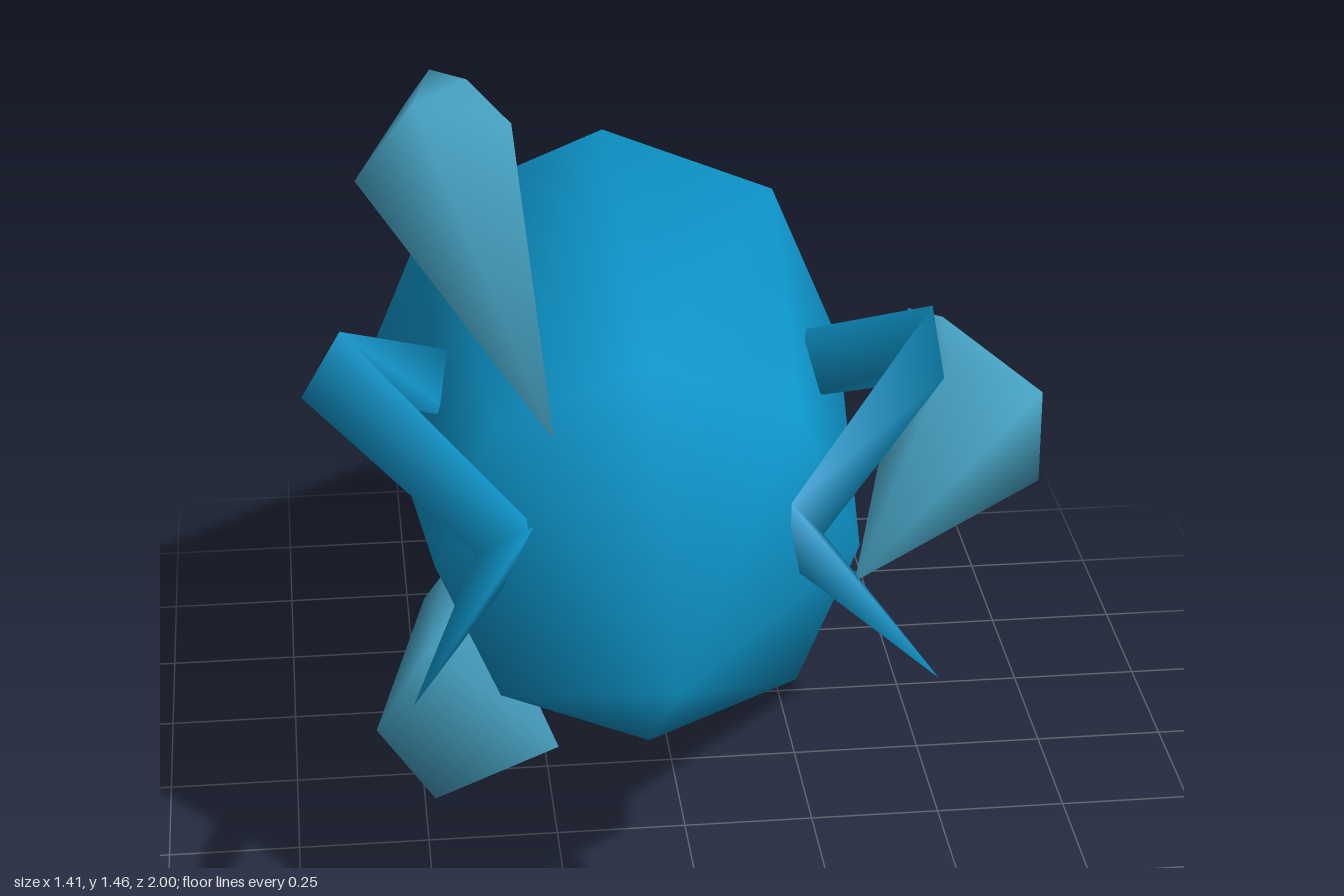
import * as THREE from 'three';

// Lofts closed rings of [x, y, z] points from front to back; a one-point ring closes an end.
function loft(rings) {
  const positions = [];
  const starts = rings.map((ring) => {
    const start = positions.length / 3;
    ring.forEach((p) => positions.push(...p));
    return start;
  });
  const index = [];
  for (let i = 0; i < rings.length - 1; i++) {
    const front = rings[i].length, back = rings[i + 1].length;
    const sides = Math.max(front, back);
    for (let j = 0; j < sides; j++) {
      const a = starts[i] + (j % front);
      const b = starts[i] + ((j + 1) % front);
      const c = starts[i + 1] + (j % back);
      const d = starts[i + 1] + ((j + 1) % back);
      if (a !== b) index.push(a, c, b);
      if (c !== d) index.push(b, c, d);
    }
  }
  const geometry = new THREE.BufferGeometry();
  geometry.setAttribute('position', new THREE.Float32BufferAttribute(positions, 3));
  geometry.setIndex(index);
  geometry.computeVertexNormals();
  return geometry;
}

// Regular polygon ring, counter-clockwise seen from the front; zAt gives depth from the local offset.
function polygon(sides, radius, cx, cy, startAngle, zAt) {
  return Array.from({ length: sides }, (_, i) => {
    const t = startAngle + (i / sides) * Math.PI * 2;
    const dx = radius * Math.cos(t), dy = radius * Math.sin(t);
    return [cx + dx, cy + dy, zAt(dx, dy)];
  });
}

function ringCentre(ring) {
  return [0, 1, 2].map((k) => ring.reduce((sum, p) => sum + p[k], 0) / ring.length);
}

export function createModel() {
  const model = new THREE.Group();
  const bodyBlue = new THREE.MeshStandardMaterial({ color: 0x0d95ca });
  bodyBlue.name = 'bodyBlue';
  const finBlue = new THREE.MeshStandardMaterial({ color: 0x48a5c6 });
  finBlue.name = 'finBlue';

  const add = (name, rings, material) => {
    const mesh = new THREE.Mesh(loft(rings), material);
    mesh.name = name;
    model.add(mesh);
  };

  // Eight-sided spindle body
  const CX = -0.095, CY = 0.735;
  add('body', [
    [[CX, CY, 1]],
    polygon(8, 0.385, CX, CY, 0, () => 0.5),
    polygon(8, 0.478, CX, CY, 0, () => -0.39),
    [[CX, CY, -1]],
  ], bodyBlue);

  // Three five-sided fins set around the body, all with the same roll
  ['finLeft', 'finUpper', 'finLower'].forEach((name, i) => {
    const angle = (i * Math.PI * 2) / 3;
    const ux = Math.cos(angle), uy = Math.sin(angle);
    const at = (r) => [CX + r * ux, CY + r * uy];
    const tilt = (dx, dy) => 0.06 + 0.25 * (dx * ux + dy * uy);
    const [ex, ey] = at(0.64);
    const end = polygon(5, 0.064, ex + 0.006, ey - 0.01, Math.PI, () => -0.42);
    add(name, [
      [[...at(0.355), 0.635]],
      polygon(5, 0.16, ...at(0.67), Math.PI, tilt),
      end,
      [ringCentre(end)],
    ], finBlue);
  });

  // Three-sided arms: claw tip, wrist, elbow and root
  const arms = {
    armLeft: [
      [[0.35, 0.735, 0.99]],
      [[0.145, 0.895, 0.63], [0.145, 0.77, 0.63], [0.21, 0.81, 0.59]],
      [[0.465, 1.07, 0.2], [0.385, 0.95, 0.23], [0.49, 0.925, 0.21]],
      [[0.25, 0.965, 0.05], [0.235, 0.87, 0.15], [0.27, 0.885, 0.06]],
    ],
    armRight: [
      [[-0.54, 0.735, 0.99]],
      [[-0.31, 0.88, 0.64], [-0.41, 0.8, 0.58], [-0.35, 0.76, 0.6]],
      [[-0.63, 1.07, 0.2], [-0.705, 0.945, 0.21], [-0.59, 0.94, 0.23]],
      [[-0.43, 0.965, 0.07], [-0.46, 0.885, 0.06], [-0.41, 0.86, 0.15]],
    ],
  };
  for (const [name, rings] of Object.entries(arms)) {
    add(name, [...rings, [ringCentre(rings[3])]], bodyBlue);
  }

  return model;
}
